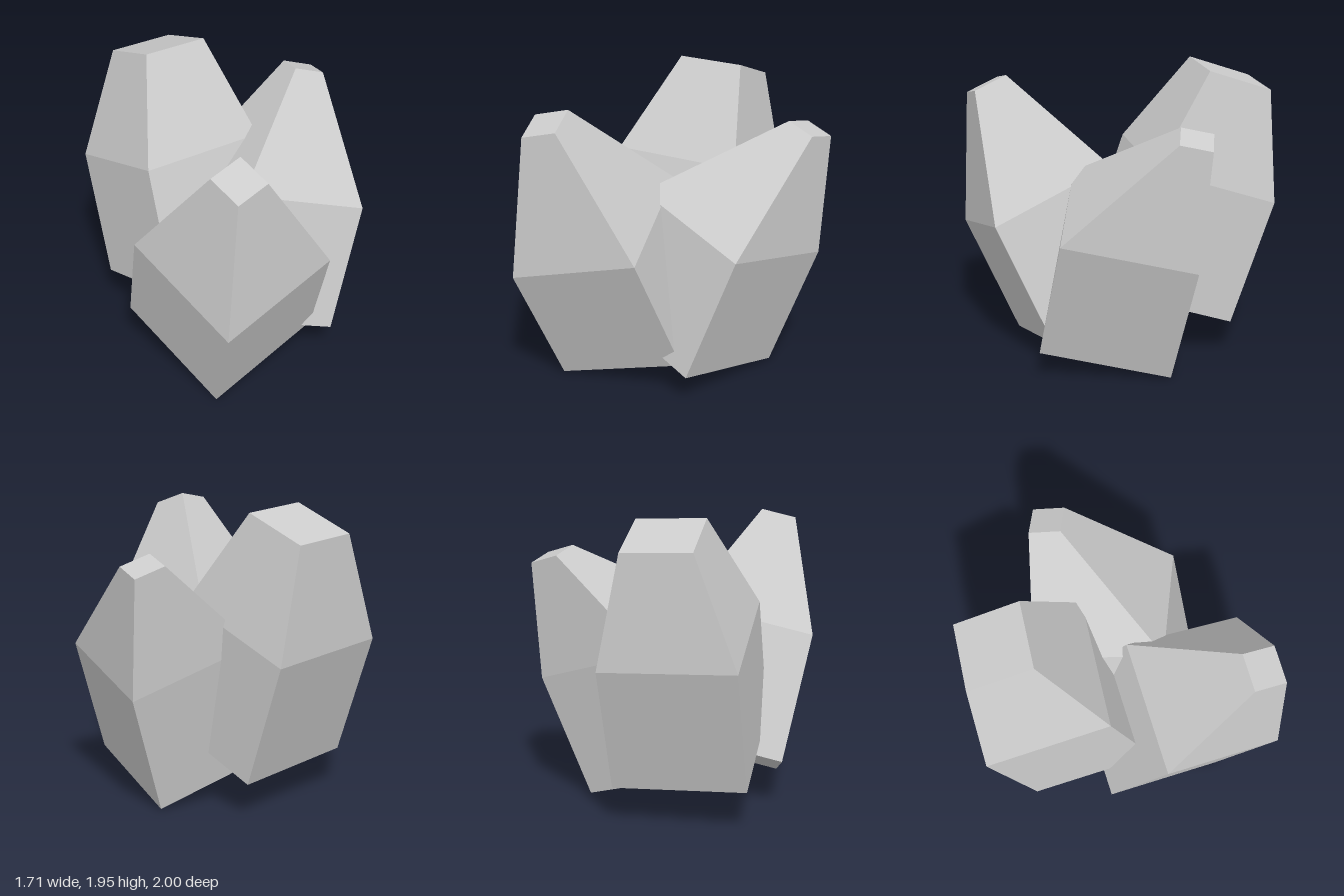
import * as THREE from 'three';

const vec = (a) => new THREE.Vector3(...a);

// Parallelogram ring, counter-clockwise seen from above
function ring(corner, u, v, scale = 1) {
  return [[0, 0], [1, 0], [1, 1], [0, 1]].map(([a, b]) =>
    corner.clone().addScaledVector(u, a * scale).addScaledVector(v, b * scale));
}

// Four-sided crystal: tilted block below the waist, tapering to a small flat tip
function crystal(name, { corner, u, v, drop, tip, tipScale }) {
  const [c, du, dv] = [corner, u, v].map(vec);
  const rings = [
    ring(c.clone().add(vec(drop)), du, dv),
    ring(c, du, dv),
    ring(vec(tip), du, dv, tipScale),
  ];
  const points = [];
  const quad = (p, q, r, s) => points.push(p, q, r, p, r, s);

  // Side faces between neighbouring rings
  for (let k = 0; k < 2; k++) {
    for (let i = 0; i < 4; i++) {
      const j = (i + 1) % 4;
      quad(rings[k][i], rings[k][j], rings[k + 1][j], rings[k + 1][i]);
    }
  }
  // Flat tip and underside
  quad(...rings[2]);
  quad(...rings[0].slice().reverse());

  const geometry = new THREE.BufferGeometry().setFromPoints(points);
  geometry.computeVertexNormals();
  const material = new THREE.MeshStandardMaterial({ color: 0xcccccc, flatShading: true });
  const mesh = new THREE.Mesh(geometry, material);
  mesh.name = name;
  return mesh;
}

export function createModel() {
  const group = new THREE.Group();
  group.name = 'crystalCluster';
  group.add(
    // Leans forward, to the front right
    crystal('frontCrystal', {
      corner: [-0.86, 1.1, 0.22], u: [0.22, -0.32, 0.78], v: [0.83, 0.2, -0.16],
      drop: [0.11, -0.78, -0.35], tip: [-0.61, 1.8, 0.75], tipScale: 0.272,
    }),
    // Leans to the left, with its tip off centre
    crystal('leftCrystal', {
      corner: [0.69, 0.99, 0.48], u: [0.14, -0.17, -0.84], v: [-0.806, 0.263, -0.188],
      drop: [-0.29, -0.81, 0.11], tip: [0.82, 1.64, -0.23], tipScale: 0.238,
    }),
    // Leans backward, tallest and bluntest
    crystal('backCrystal', {
      corner: [0.2, 1.06, -1], u: [-0.86, 0.03, 0.08], v: [0.08, 0.28, 0.81],
      drop: [0.01, -0.82, 0.28], tip: [0.05, 1.79, -0.99], tipScale: 0.515,
    }),
  );
  return group;
}
